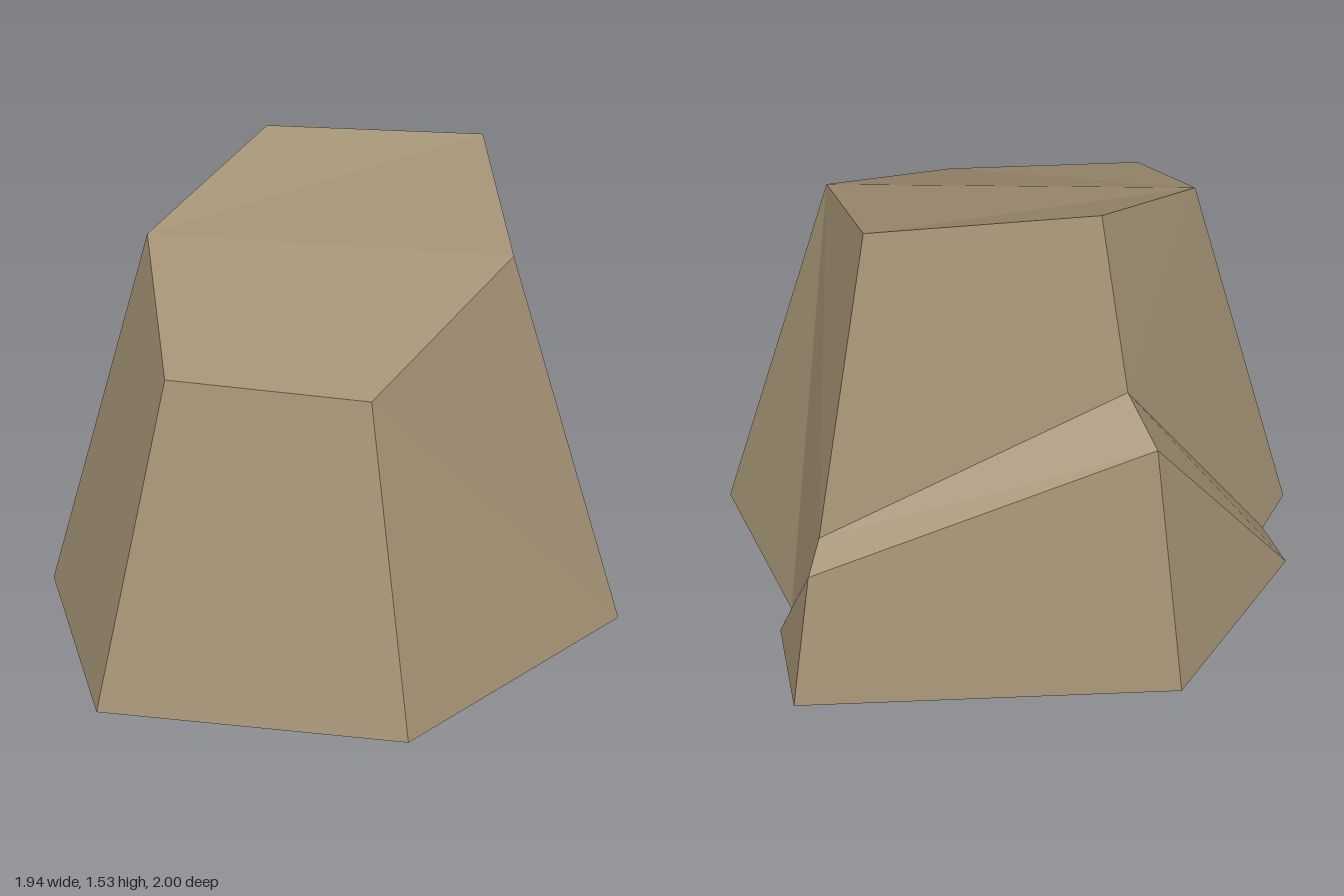
import * as THREE from 'three';

// Corners of the boulder: base outline, sloped crown, and the step in the back
const corners = {
  centre: [0, 0, 0],
  // base outline, counter-clockwise from above
  b0: [-0.97, 0, -0.09], b1: [-0.80, 0, 0.77], b2: [0.19, 0, 1.0], b3: [0.97, 0, 0.29],
  b4: [0.83, 0, -0.36], b5: [0.88, 0, -0.46], b6: [0.88, 0, -0.83], b7: [-0.37, 0, -1.0],
  b8: [-0.88, 0, -0.44], b9: [-0.85, 0, -0.25],
  // crown
  t0: [-0.60, 1.32, -0.05], t1: [-0.55, 1.07, 0.53], t2: [0.09, 1.04, 0.66],
  t3: [0.58, 1.32, 0.20], t4: [0.54, 1.51, -0.40], t5: [-0.19, 1.53, -0.47],
  // step: inner edge against the main block, outer edge of the ledge
  innerR: [0.75, 0.53, -0.64], innerL: [-0.25, 0.96, -0.63],
  outerR: [0.80, 0.45, -0.73], outerL: [-0.31, 0.85, -0.80],
};

// Flat-shaded mesh from polygons, each fanned from its first corner
function facets(name, faces, material) {
  const positions = [];
  for (const face of faces) {
    const pts = face.split(' ').map((key) => corners[key]);
    for (let i = 1; i < pts.length - 1; i++) positions.push(...pts[0], ...pts[i], ...pts[i + 1]);
  }
  const geometry = new THREE.BufferGeometry();
  geometry.setAttribute('position', new THREE.Float32BufferAttribute(positions, 3));
  geometry.computeVertexNormals();
  const mesh = new THREE.Mesh(geometry, material);
  mesh.name = name;
  return mesh;
}

export function createModel() {
  const stone = new THREE.MeshStandardMaterial({ color: 0xa08f72 });
  stone.name = 'stone';

  const group = new THREE.Group();
  group.name = 'boulder';

  group.add(facets('crown', ['t0 t1 t2 t3 t4 t5'], stone));

  group.add(facets('mainBlock', [
    'b0 b1 t1 t0',          // left front
    't2 t1 b1 b2',          // front
    't2 b2 b3 t3',          // right front
    't3 b3 b4 innerR t4',   // right
    't4 innerR innerL t5',  // back, above the ledge
    't0 t5 innerL b9 b0',   // left back
  ], stone));

  group.add(facets('backLedge', [
    'innerR outerR outerL innerL', // ledge top
    'b4 b5 outerR innerR',         // right step
    'b5 b6 outerR',                // right side
    'outerL outerR b6 b7',         // back
    'b7 b8 outerL',                // left side
    'b8 b9 innerL outerL',         // left step
  ], stone));

  // Underside, fanned from the middle
  group.add(facets('underside', ['centre b0 b9 b8 b7 b6 b5 b4 b3 b2 b1 b0'], stone));

  return group;
}
